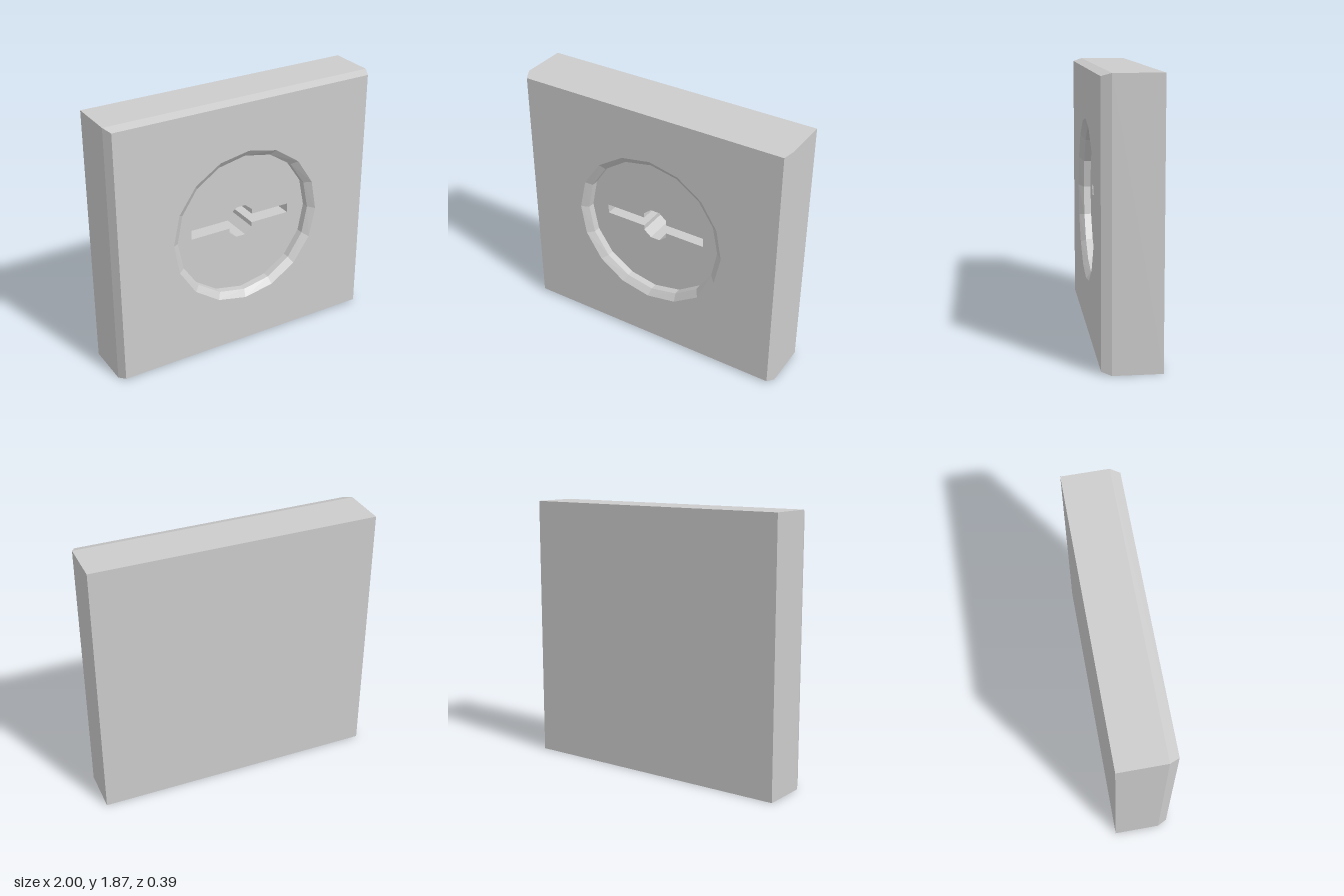
import * as THREE from 'three';

const CY = 0.935; // height of the dial centre
const material = new THREE.MeshStandardMaterial({ color: 0xcccccc, flatShading: true });

const points = (list) => list.map(([x, y]) => new THREE.Vector2(x, y));

// Counter-clockwise outlines, seen from the front
const rect = (dx, dy) => points([[-1 + dx, dy], [1 - dx, dy], [1 - dx, 1.87 - dy], [-1 + dx, 1.87 - dy]]);

const ring = (radius, turn) => Array.from({ length: 16 }, (_, i) => {
  const a = turn + (i / 16) * Math.PI * 2;
  return new THREE.Vector2(radius * Math.cos(a), CY + radius * Math.sin(a));
});

// Flat face at depth z, optionally with a hole
function face(name, outline, z, hole) {
  const shape = new THREE.Shape(outline);
  if (hole) shape.holes.push(new THREE.Path(hole));
  const mesh = new THREE.Mesh(new THREE.ShapeGeometry(shape), material);
  mesh.name = name;
  mesh.position.z = z;
  return mesh;
}

// Wall joining outline a at depth za to outline b at depth zb
function band(name, a, za, b, zb) {
  const pos = [];
  a.forEach((p, i) => {
    const j = (i + 1) % a.length;
    const a0 = [p.x, p.y, za], a1 = [a[j].x, a[j].y, za];
    const b0 = [b[i].x, b[i].y, zb], b1 = [b[j].x, b[j].y, zb];
    pos.push(...a0, ...a1, ...b1, ...a0, ...b1, ...b0);
  });
  const geometry = new THREE.BufferGeometry();
  geometry.setAttribute('position', new THREE.Float32BufferAttribute(pos, 3));
  geometry.computeVertexNormals();
  const mesh = new THREE.Mesh(geometry, material);
  mesh.name = name;
  return mesh;
}

export function createModel() {
  const group = new THREE.Group();
  group.name = 'panelWithDial';

  const back = -0.195, shoulder = 0.13, front = 0.195;
  const lip = 0.16, floor = 0.11, slotEnd = -0.14;

  const body = rect(0, 0);
  const panel = rect(0.03, 0.02);
  const rim = ring(0.57, -0.018);
  const dial = ring(0.523, 0);

  // Keyhole: a long slot crossing a chamfered hub
  const slot = points([
    [-0.39, 0.905], [-0.09, 0.905], [-0.09, 0.87], [-0.035, 0.825], [0.035, 0.825], [0.09, 0.87],
    [0.09, 0.905], [0.385, 0.905], [0.385, 0.973], [0.09, 0.973], [0.09, 1.01], [0.035, 1.055],
    [-0.035, 1.055], [-0.09, 1.01], [-0.09, 0.973], [-0.39, 0.973],
  ]);

  // Slab with bevelled front edge
  const backFace = face('backFace', body, back);
  backFace.rotation.y = Math.PI;
  group.add(
    backFace,
    band('sides', body, back, body, shoulder),
    band('frontBevel', body, shoulder, panel, front),
    face('frontFace', panel, front, rim),
  );

  // Round recess
  group.add(
    band('recessBevel', rim, front, dial, lip),
    band('recessWall', dial, lip, dial, floor),
    face('recessFloor', dial, floor, slot),
  );

  // Slot cut into the recess floor
  group.add(
    band('slotWall', slot, floor, slot, slotEnd),
    face('slotFloor', slot, slotEnd),
  );
  return group;
}
